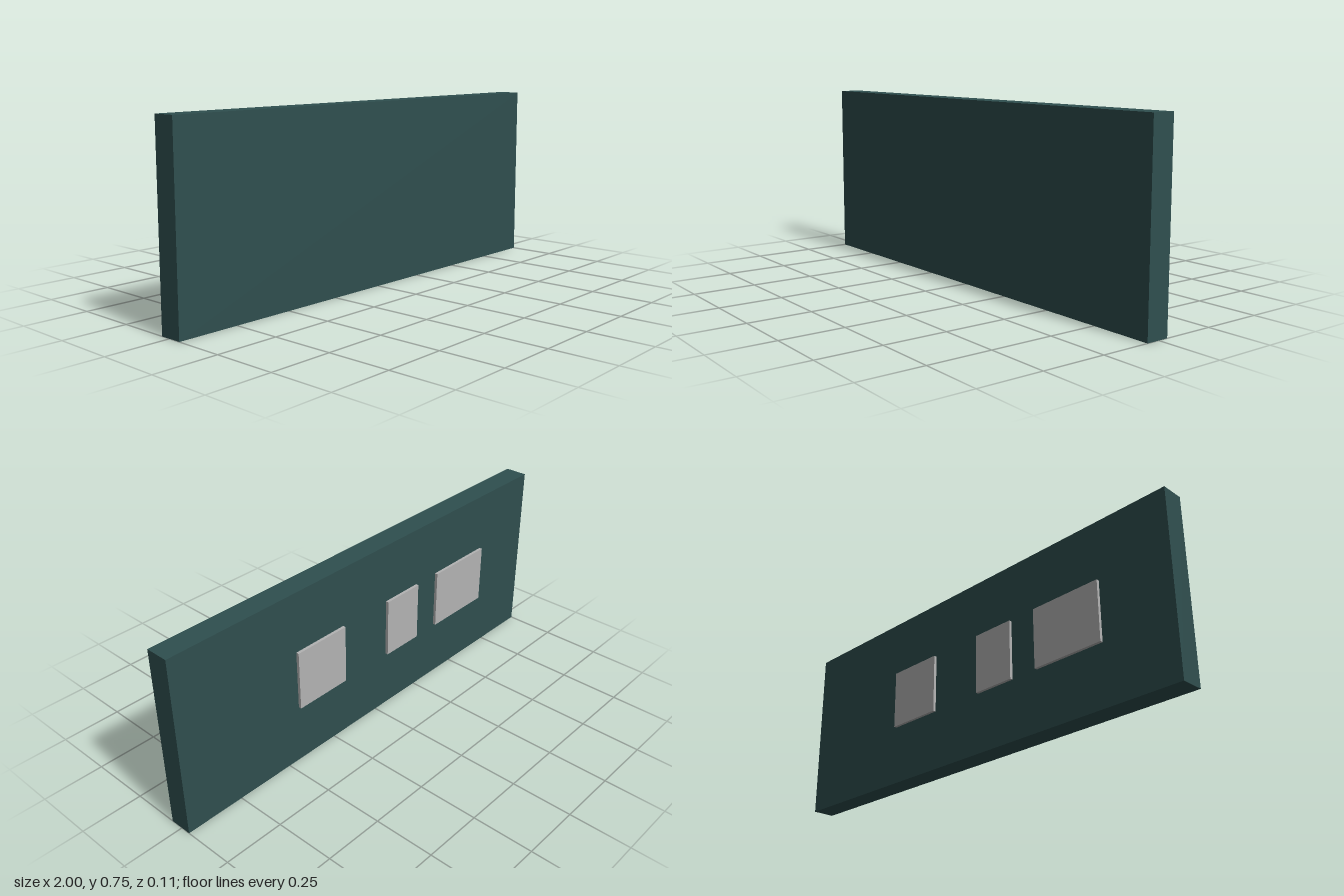
import * as THREE from 'three';

export function createModel() {
  const model = new THREE.Group();
  const slate = new THREE.MeshStandardMaterial({ name: 'dark slate', color: 0x2f4f4f });
  const grey = new THREE.MeshStandardMaterial({ name: 'light grey', color: 0xb3b3b3 });

  // Box given by its lower and upper corners
  function addBox(name, material, [x0, y0, z0], [x1, y1, z1]) {
    const mesh = new THREE.Mesh(new THREE.BoxGeometry(x1 - x0, y1 - y0, z1 - z0), material);
    mesh.position.set((x0 + x1) / 2, (y0 + y1) / 2, (z0 + z1) / 2);
    mesh.name = name;
    model.add(mesh);
  }

  const front = 0.053, back = -0.0406;

  // Upright board
  addBox('board', slate, [-1, 0, back], [1, 0.75, front]);

  // Three raised plates on the back of the board
  const plates = [
    ['widePlate', -0.6875, -0.375],
    ['narrowPlate', -0.25, -0.0625],
    ['squarePlate', 0.1875, 0.4375],
  ];
  for (const [name, x0, x1] of plates) {
    addBox(name, grey, [x0, 0.25, -front], [x1, 0.5, back]);
  }
  return model;
}
